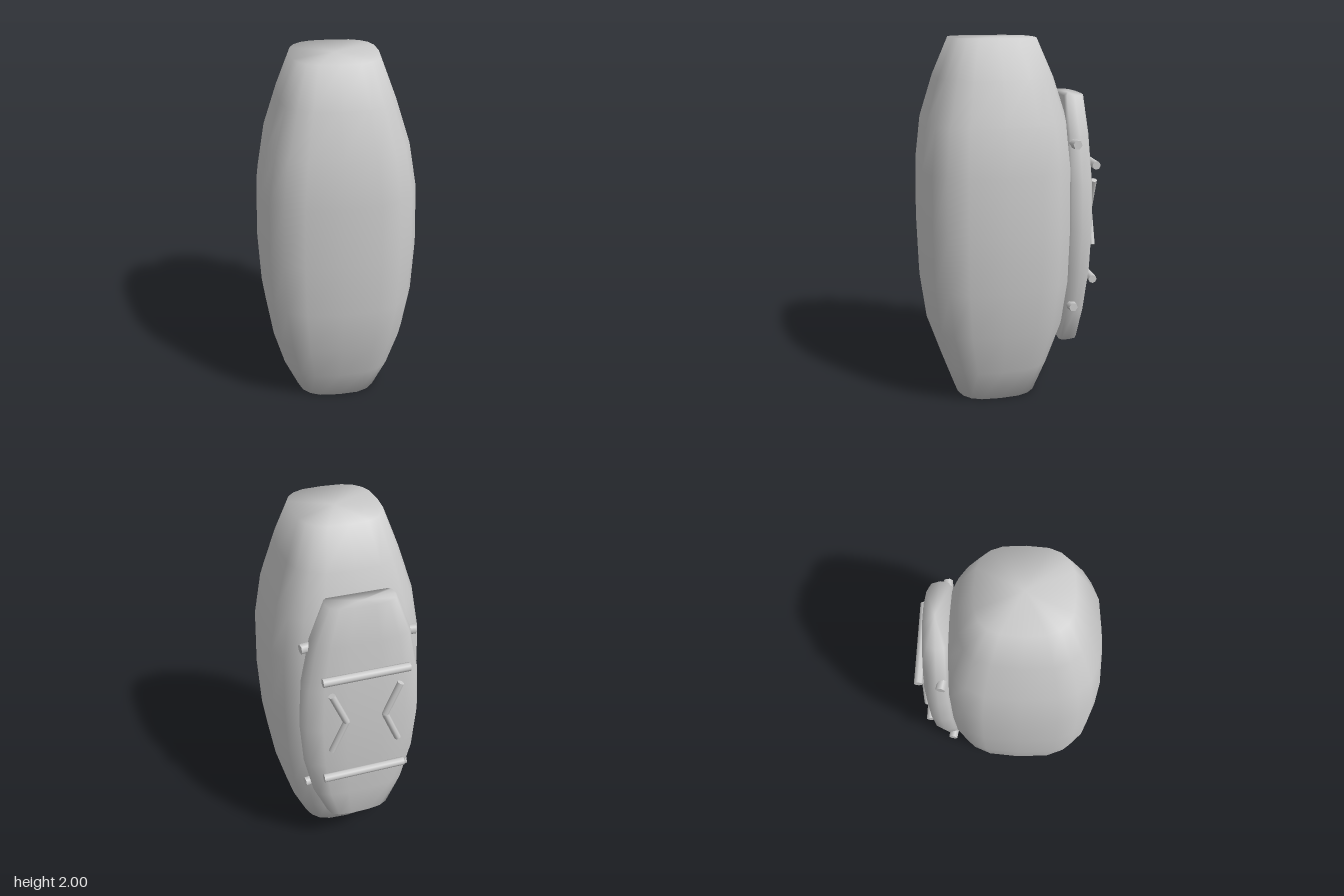
import * as THREE from 'three';

const material = new THREE.MeshStandardMaterial({ color: 0xcccccc });

function part(name, geometry) {
  const mesh = new THREE.Mesh(geometry, material);
  mesh.name = name;
  return mesh;
}

// Smooth closed skin over rings of [x, y, z] points stacked upward
function loft(rings) {
  const n = rings[0].length, last = rings.length - 1;
  const pos = rings.flat(2), index = [];
  for (let j = 0; j < last; j++) {
    for (let i = 0; i < n; i++) {
      const k = (i + 1) % n;
      const a = j * n + i, b = j * n + k, c = a + n, d = b + n;
      index.push(a, c, b, b, c, d);
    }
  }
  // flat end caps
  for (const [j, top] of [[0, false], [last, true]]) {
    const centre = pos.length / 3;
    const mid = [0, 1, 2].map(c => rings[j].reduce((s, p) => s + p[c], 0) / n);
    pos.push(...mid);
    for (let i = 0; i < n; i++) {
      const a = j * n + i, b = j * n + (i + 1) % n;
      index.push(centre, top ? b : a, top ? a : b);
    }
  }
  const geo = new THREE.BufferGeometry();
  geo.setAttribute('position', new THREE.Float32BufferAttribute(pos, 3));
  geo.setIndex(index);
  geo.computeVertexNormals();
  return geo;
}

// Round rod between two points
function rod(name, from, to, radius, sides = 8) {
  const a = new THREE.Vector3(...from), b = new THREE.Vector3(...to);
  const dir = b.clone().sub(a);
  const mesh = part(name, new THREE.CylinderGeometry(radius, radius, dir.length(), sides));
  mesh.position.copy(a).add(b).multiplyScalar(0.5);
  mesh.quaternion.setFromUnitVectors(new THREE.Vector3(0, 1, 0), dir.normalize());
  return mesh;
}

export function createModel() {
  const model = new THREE.Group();
  model.name = 'model';

  // Barrel-shaped body: rounded-square sections [y, half width, half depth]
  const bodyProfile = [
    [0, 0.24, 0.235], [0.2, 0.32, 0.305], [0.44, 0.38, 0.385], [0.7, 0.418, 0.418],
    [1, 0.43, 0.425], [1.33, 0.418, 0.418], [1.57, 0.375, 0.388], [1.8, 0.3, 0.315], [2, 0.223, 0.228],
  ];
  const soften = v => Math.sign(v) * Math.abs(v) ** (2 / 3);
  const bodyRings = bodyProfile.map(([y, w, d]) => {
    const ring = [];
    for (let i = 0; i < 20; i++) {
      const t = i / 20 * Math.PI * 2;
      ring.push([w * soften(Math.cos(t)), y, 0.065 + d * soften(Math.sin(t))]);
    }
    return ring;
  });
  model.add(part('body', loft(bodyRings)));

  // Back plate: domed section [share of half width, share of depth], mirrored in x
  const half = [[0.3, 1], [0.68, 0.93], [0.92, 0.76], [1, 0.42], [0.96, 0.1], [0.88, 0]];
  const section = [...half, ...half.map(([x, t]) => [-x, t]).reverse()];
  // [y, half width, back z]
  const plateProfile = [
    [0.3, 0.18, -0.42], [0.5, 0.26, -0.44], [0.75, 0.312, -0.458], [1, 0.328, -0.464],
    [1.25, 0.312, -0.458], [1.5, 0.26, -0.44], [1.7, 0.18, -0.42],
  ];
  const front = -0.295;
  const plateRings = plateProfile.map(([y, w, back]) =>
    section.map(([x, t]) => [x * w, y, front + (back - front) * t]));
  model.add(part('backPlate', loft(plateRings)));

  // Horizontal bars across the plate
  for (const [name, y] of [['upperBar', 1.33], ['lowerBar', 0.68]]) {
    model.add(rod(name, [-0.228, y, -0.466], [0.228, y, -0.466], 0.023));
  }

  for (const [side, s] of [['left', 1], ['right', -1]]) {
    // Bent strips pointing towards the middle
    const chevron = new THREE.Group();
    chevron.name = side + 'Chevron';
    const apex = [0.105 * s, 1.055, -0.47];
    chevron.add(rod('upperStrip', apex, [0.183 * s, 1.24, -0.468], 0.018));
    chevron.add(rod('lowerStrip', apex, [0.183 * s, 0.87, -0.468], 0.018));
    const joint = part('joint', new THREE.SphereGeometry(0.018, 8, 6));
    joint.position.set(...apex);
    chevron.add(joint);
    model.add(chevron);

    // Studs on the plate's edges
    for (const [level, y] of [['Upper', 1.46], ['Lower', 0.55]]) {
      model.add(rod(side + level + 'Stud', [0.245 * s, y, -0.328], [0.302 * s, y, -0.336], 0.026, 6));
    }
  }
  return model;
}
